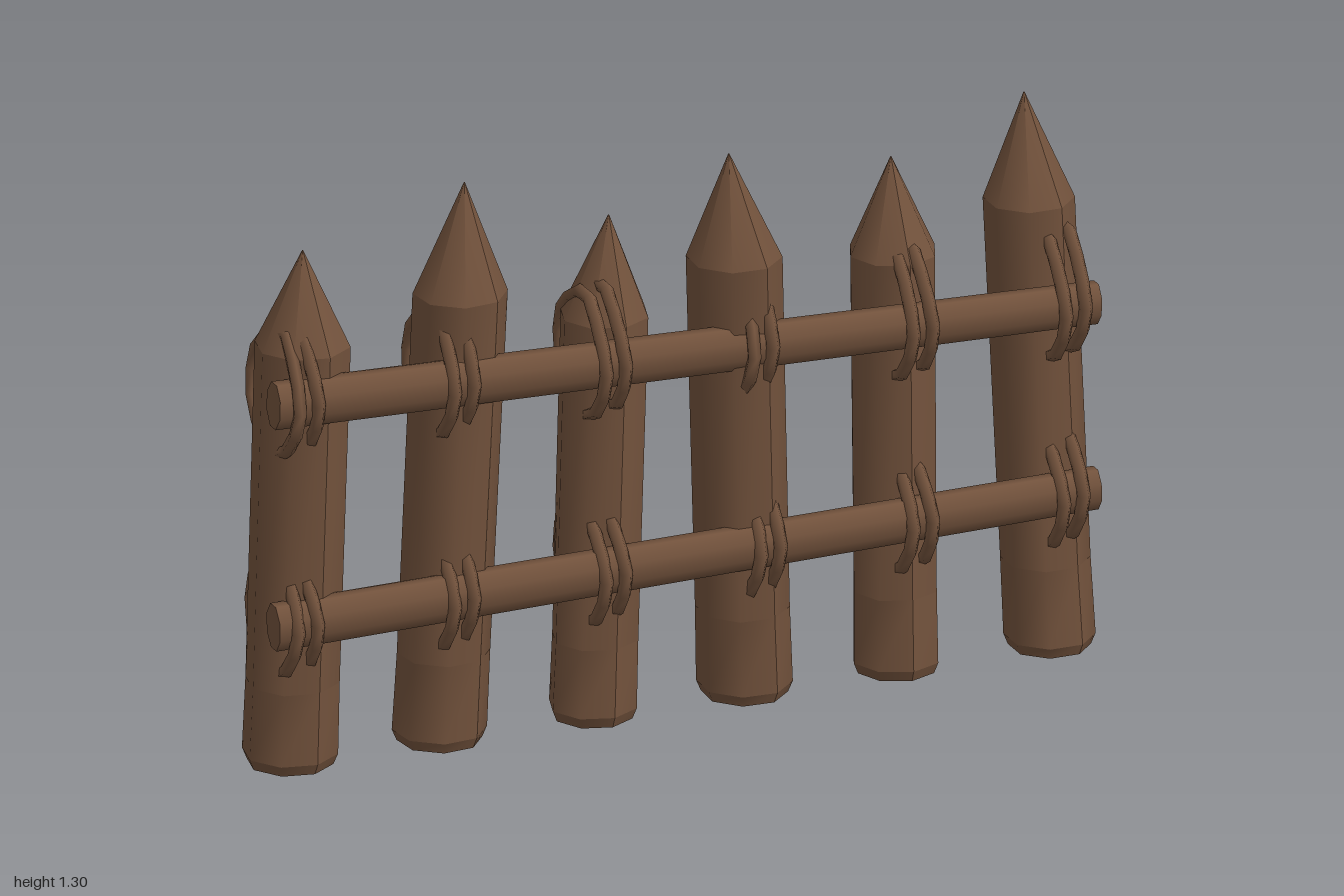
import * as THREE from 'three';

const wood = new THREE.MeshStandardMaterial({ color: 0x72523c });
wood.name = 'brown wood';

// base x, shoulder x, shoulder y, tip x, tip y, shoulder z, tip z, radius, turn
const POSTS = [
  [-0.9, -0.87, 0.98, -0.87, 1.2, 0.0, 0.0, 0.107, 0.2],
  [-0.545, -0.5, 1.05, -0.49, 1.305, 0.01, 0.01, 0.105, 0.5],
  [-0.18, -0.14, 0.93, -0.13, 1.16, -0.03, -0.03, 0.1, 0.1],
  [0.18, 0.145, 1.04, 0.13, 1.285, 0.025, 0.03, 0.106, 0.35],
  [0.54, 0.547, 0.97, 0.545, 1.19, -0.035, -0.04, 0.1, 0.0],
  [0.905, 0.878, 1.04, 0.87, 1.285, -0.052, -0.06, 0.101, 0.4],
];
const SIDES = 8;

// Skin a stack of rings; each ring is [centre, radius]
function postGeometry(rings, turn) {
  const parts = [];
  const idx = [];
  const add = (a, b) => {
    const start = parts.length / 3;
    for (const [c, r] of [a, b]) {
      for (let i = 0; i <= SIDES; i++) {
        const t = turn + (i / SIDES) * Math.PI * 2;
        parts.push(c.x + Math.sin(t) * r, c.y, c.z + Math.cos(t) * r);
      }
    }
    for (let i = 0; i < SIDES; i++) {
      const p = start + i, q = p + SIDES + 1;
      idx.push(p, p + 1, q + 1, p, q + 1, q);
    }
  };
  for (let k = 0; k < rings.length - 1; k++) add(rings[k], rings[k + 1]);
  const g = new THREE.BufferGeometry();
  g.setAttribute('position', new THREE.Float32BufferAttribute(parts, 3));
  g.setIndex(idx);
  g.computeVertexNormals();
  return g;
}

function makePost([bx, sx, sy, tx, ty, sz, tz, r, turn]) {
  const v = (x, y, z) => new THREE.Vector3(x, y, z);
  return new THREE.Mesh(postGeometry([
    [v(bx, 0.015, 0), 0.001],
    [v(bx, 0.005, 0), r * 0.9],
    [v(bx, 0.03, 0), r],
    [v(bx + (sx - bx) * 0.2, sy * 0.2, sz * 0.2), r * 0.98],
    [v(sx, sy, sz), r],
    [v(tx, ty, tz), 0.001],
  ], turn), wood);
}

// Slightly tapering eight-sided rail between two heights
function makeRail(yLeft, yRight) {
  const a = new THREE.Vector3(-0.98, yLeft, 0.095);
  const b = new THREE.Vector3(0.975, yRight, 0.095);
  const g = new THREE.CylinderGeometry(0.05, 0.056, a.distanceTo(b), 8, 1);
  g.rotateY(Math.PI / 8);
  g.rotateZ(-Math.PI / 2 + Math.atan2(b.y - a.y, b.x - a.x));
  g.scale(1, 1, 0.72);
  const m = new THREE.Mesh(g, wood);
  m.position.copy(a).add(b).multiplyScalar(0.5);
  return m;
}

// Loop profile in z and y, wrapping rail and post
const LOOP = [
  [0.142, 0.0], [0.09, 0.1], [0.03, 0.155], [-0.06, 0.12],
  [-0.115, 0.06], [-0.115, -0.04], [-0.05, -0.11], [0.05, -0.125], [0.115, -0.07],
];

function makeLashing(x, y, up, lean) {
  const pts = LOOP.map(([z, dy]) => new THREE.Vector3(
    x + lean * dy, y + dy * (dy > 0 ? up : 1), z));
  const curve = new THREE.CatmullRomCurve3(pts, true, 'centripetal');
  const g = new THREE.TubeGeometry(curve, 14, 0.016, 5, true);
  return new THREE.Mesh(g, wood);
}

export function createModel() {
  const group = new THREE.Group();
  POSTS.forEach((p, i) => {
    const m = makePost(p);
    m.name = 'post' + (i + 1);
    group.add(m);
  });

  const rails = [
    { name: 'upper', y: [0.885, 0.83], up: 1.0, x: [-0.915, -0.545, -0.185, 0.165, 0.545, 0.908] },
    { name: 'lower', y: [0.365, 0.395], up: 0.8, x: [-0.917, -0.545, -0.185, 0.183, 0.545, 0.903] },
  ];
  for (const rail of rails) {
    const m = makeRail(...rail.y);
    m.name = rail.name + 'Rail';
    group.add(m);

    // Two lashings at each post
    rail.x.forEach((x, i) => {
      const y = THREE.MathUtils.lerp(rail.y[0], rail.y[1], (x + 1) / 2);
      const pair = new THREE.Group();
      pair.name = rail.name + 'Lashing' + (i + 1);
      pair.add(makeLashing(x - 0.022, y - 0.01, rail.up, 0.06 - 0.03 * (i % 3)));
      pair.add(makeLashing(x + 0.024, y + 0.005, rail.up, -0.04 + 0.05 * (i % 2)));
      group.add(pair);
    });
  }
  return group;
}
